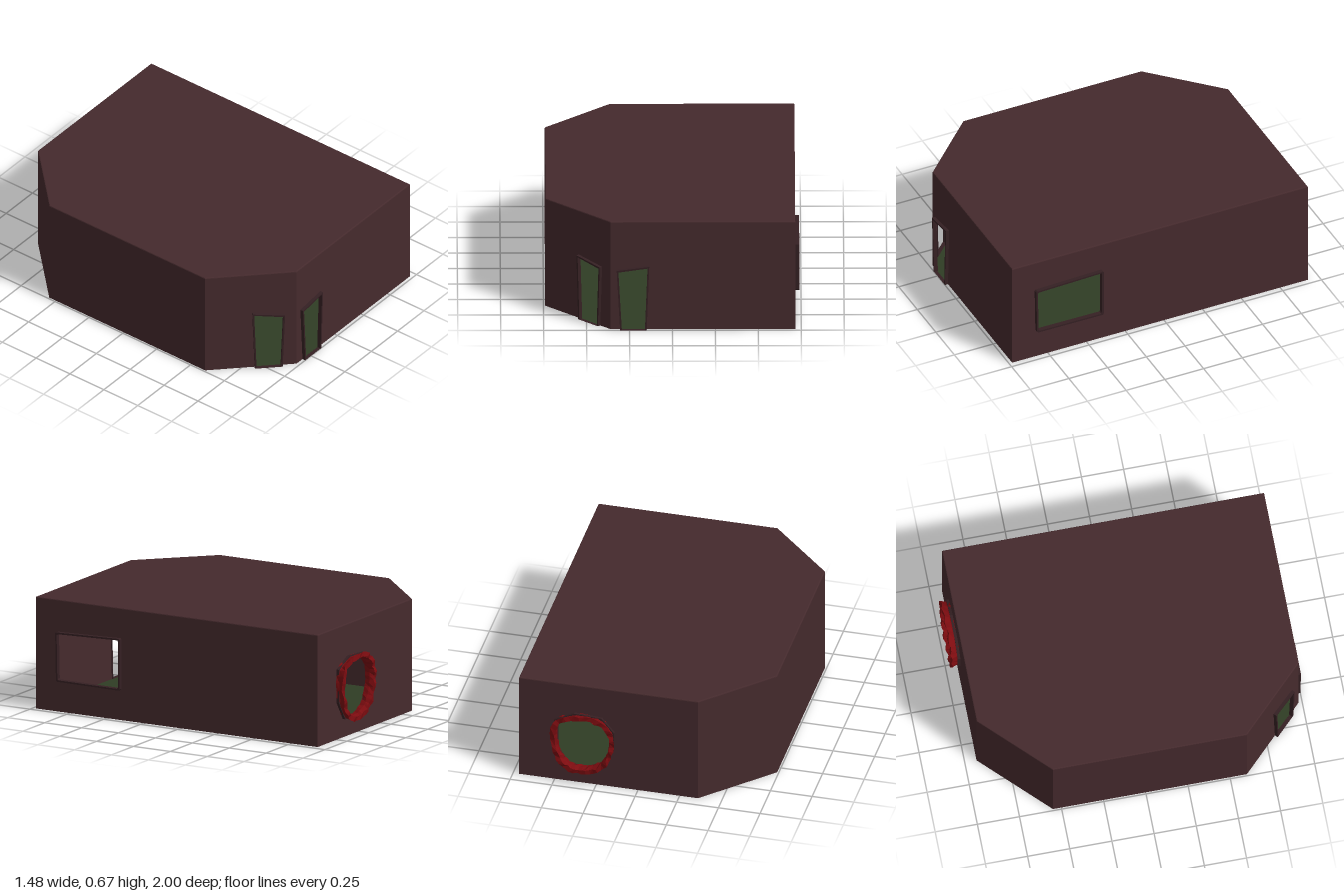
import * as THREE from 'three';

const H = 0.67;
// footprint corners [x, z], counter-clockwise seen from above
const CORNERS = [[-0.74, 0.6], [-0.36, 0.98], [0.715, 0.98], [0.715, -0.93], [-0.36, -0.93], [-0.74, -0.55]];
const mat = (color, flatShading = false) =>
  new THREE.MeshStandardMaterial({ color, flatShading, side: THREE.DoubleSide });
const wallMat = mat(0x452a2d), trimMat = mat(0x352023), floorMat = mat(0x2f3d24), redMat = mat(0x7d0c10, true);

const toVecs = (pts) => pts.map(([x, y]) => new THREE.Vector2(x, y));
const shapeOf = (pts) => new THREE.Shape(toVecs(pts));

function add(parent, name, geometry, material) {
  const mesh = new THREE.Mesh(geometry, material);
  mesh.name = name;
  parent.add(mesh);
  return mesh;
}

// scale an outline about its middle by a fixed border width
function inset(pts, d, openBottom = false) {
  const xs = pts.map((p) => p[0]), ys = pts.map((p) => p[1]);
  const cx = (Math.min(...xs) + Math.max(...xs)) / 2, cy = (Math.min(...ys) + Math.max(...ys)) / 2;
  return pts.map(([x, y]) => [x - Math.sign(x - cx) * d, openBottom && y < cy ? y : y - Math.sign(y - cy) * d]);
}

// thin frame standing out of the wall around an opening
function frame(parent, name, pts, depth, openBottom) {
  const shape = shapeOf(pts);
  shape.holes.push(new THREE.Path(toVecs(inset(pts, 0.01, openBottom))));
  add(parent, name, new THREE.ExtrudeGeometry(shape, { depth, bevelEnabled: false }), trimMat).position.z = -0.004;
}

// ragged rim of the broken hole: a five-point section swept round the outline
function raggedRim(outline) {
  const curve = new THREE.CatmullRomCurve3(outline.map(([x, y]) => new THREE.Vector3(x, y, 0)), true);
  const c = new THREE.Vector2(0.395, 0.285), N = 44;
  const section = [[0.95, 0], [0.93, 0.02], [1, 0.05], [0.86, 0.052], [0.82, 0.025], [0.85, -0.008]];
  const M = section.length, pos = [], index = [];
  for (let i = 0; i < N; i++) {
    const p = curve.getPoint(i / N);
    section.forEach(([s, z], j) => {
      const k = s + 0.025 * Math.sin(i * 2.4 + j * 1.7) * Math.cos(i * 1.1);
      pos.push(c.x + (p.x - c.x) * k, c.y + (p.y - c.y) * k, z + (z > 0.03 ? 0.006 * Math.sin(i * 1.9 + j) : 0));
      const a = i * M + j, b = i * M + ((j + 1) % M);
      const d = ((i + 1) % N) * M + j, e = ((i + 1) % N) * M + ((j + 1) % M);
      index.push(a, d, b, b, d, e);
    });
  }
  const g = new THREE.BufferGeometry();
  g.setAttribute('position', new THREE.Float32BufferAttribute(pos, 3));
  g.setIndex(index);
  g.computeVertexNormals();
  return g;
}

export function createModel() {
  const model = new THREE.Group();
  model.name = 'room';

  // openings in wall coordinates: u along the wall, v up
  const sideDoor = [[0.29, 0], [0.453, 0], [0.467, 0.37], [0.276, 0.395]];
  const frontDoor = [[0.055, 0], [0.21, 0], [0.225, 0.395], [0.035, 0.37]];
  const window = [[0.15, 0.19], [0.157, 0.183], [0.575, 0.18], [0.58, 0.187], [0.58, 0.485], [0.574, 0.49], [0.152, 0.478], [0.145, 0.472]];
  const breach = [[0.215, 0.42], [0.335, 0.48], [0.5, 0.47], [0.575, 0.38], [0.575, 0.26],
    [0.515, 0.14], [0.405, 0.09], [0.285, 0.11], [0.215, 0.22]];
  const shrink = (k) => breach.map(([x, y]) => [0.395 + (x - 0.395) * k, 0.285 + (y - 0.285) * k]);

  const openings = [sideDoor, frontDoor, window, shrink(0.9), null, null];
  const names = ['frontCornerWall', 'frontWall', 'leftWall', 'backWall', 'backCornerWall', 'rightWall'];

  // walls, each in its own group with +z facing outward
  CORNERS.forEach((a, i) => {
    const b = CORNERS[(i + 1) % CORNERS.length];
    const dx = b[0] - a[0], dz = b[1] - a[1], len = Math.hypot(dx, dz);
    const side = new THREE.Group();
    side.name = names[i] + 'Group';
    side.position.set(a[0], 0, a[1]);
    side.rotation.y = Math.atan2(-dz, dx);
    model.add(side);

    const hole = openings[i], top = H - 0.007;
    let shape;
    if (i < 2) {
      // door notch runs down to the floor
      const [bl, br, tr, tl] = hole;
      shape = shapeOf([[0, 0], bl, tl, tr, br, [len, 0], [len, top], [0, top]]);
      frame(side, 'doorFrame', hole, 0.024, true);
    } else {
      shape = shapeOf([[0, 0], [len, 0], [len, top], [0, top]]);
      if (hole) shape.holes.push(new THREE.Path(toVecs(hole)));
    }
    add(side, names[i], new THREE.ShapeGeometry(shape), wallMat);

    if (i === 2) frame(side, 'windowFrame', window, 0.028);
    if (i === 3) {
      // dark broken edge, red rim and one splinter
      const edge = shapeOf(shrink(1));
      edge.holes.push(new THREE.Path(toVecs(shrink(0.88))));
      add(side, 'brokenEdge', new THREE.ExtrudeGeometry(edge, { depth: 0.016, bevelEnabled: false }), trimMat);
      add(side, 'raggedRim', raggedRim(breach), redMat);
      const splinter = add(side, 'splinter', new THREE.ConeGeometry(0.008, 0.035, 4), redMat);
      splinter.position.set(0.455, 0.455, 0.054);
      splinter.rotation.x = 1.2;
    }
  });

  // roof slab with a slim bevel
  const plan = shapeOf(CORNERS.map(([x, z]) => [x, -z]));
  const roof = add(model, 'roof', new THREE.ExtrudeGeometry(plan, {
    depth: 0.002, bevelThickness: 0.006, bevelSize: 0.006, bevelOffset: -0.006, bevelSegments: 2,
  }), wallMat);
  roof.rotation.x = -Math.PI / 2;
  roof.position.y = H - 0.008;

  // floor
  const floor = add(model, 'floor', new THREE.ShapeGeometry(plan), floorMat);
  floor.rotation.x = -Math.PI / 2;
  return model;
}
